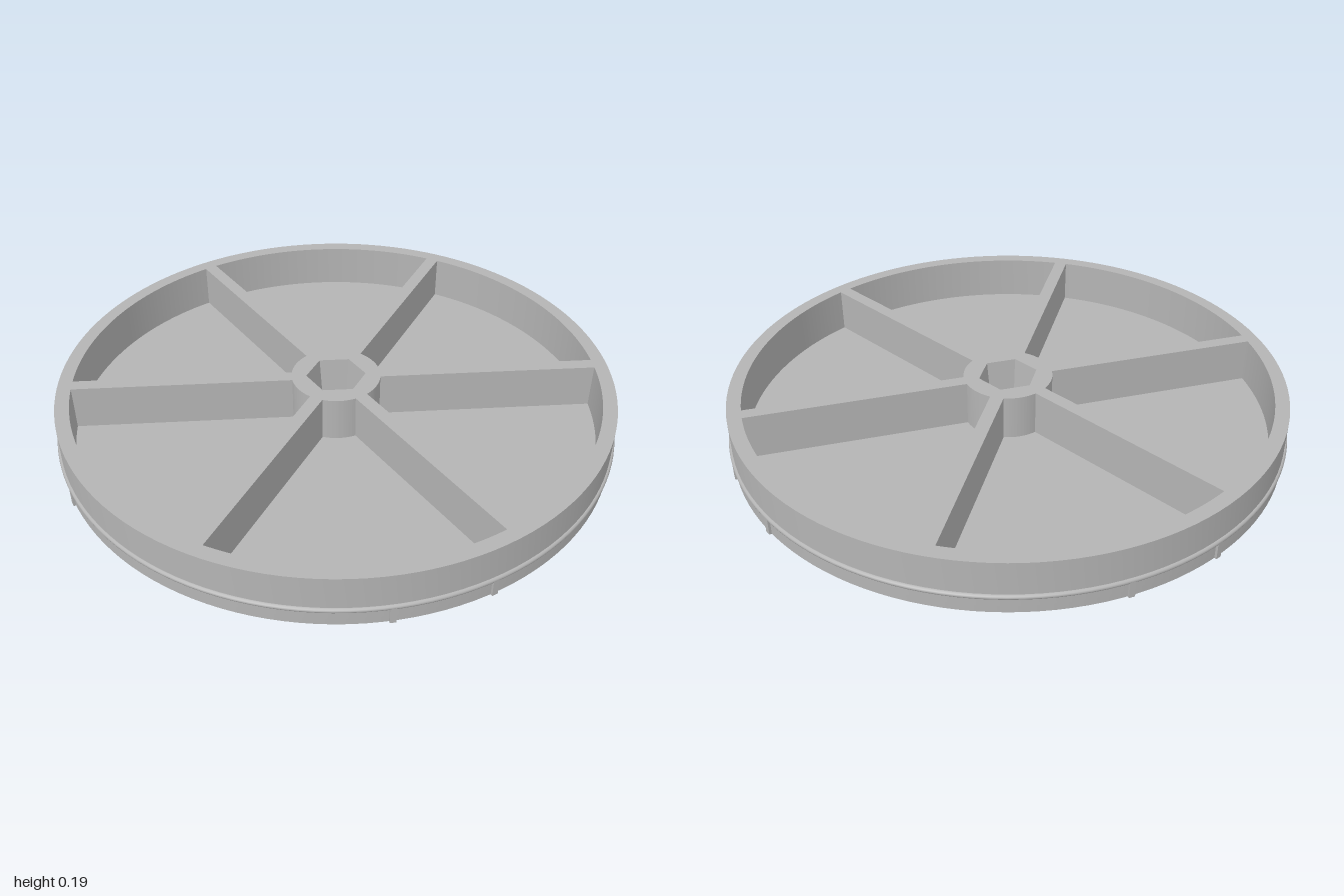
import * as THREE from 'three';
import { toCreasedNormals } from 'three/addons/utils/BufferGeometryUtils.js';

const R = 0.99, H = 0.19, FLOOR = 0.025;
const POCKET_OUT = 0.94, POCKET_IN = 0.16, SPOKE = 0.024, HEX = 0.107;

export function createModel() {
  const model = new THREE.Group();
  const grey = new THREE.MeshStandardMaterial({ color: 0xb4b4b4 });
  grey.name = 'grey';
  const greyInside = grey.clone();
  greyInside.side = THREE.DoubleSide;

  const add = (name, geometry, material = grey) => {
    const mesh = new THREE.Mesh(geometry, material);
    mesh.name = name;
    model.add(mesh);
    return mesh;
  };

  // Solid floor of the disc
  add('floor', new THREE.CylinderGeometry(R, R, FLOOR, 128)).position.y = FLOOR / 2;

  // Rim, six spokes and hub: one plate with six pockets and a hexagonal socket
  const plate = new THREE.Shape().absarc(0, 0, R, 0, Math.PI * 2);
  const outA = Math.asin(SPOKE / POCKET_OUT), inA = Math.asin(SPOKE / POCKET_IN);
  for (let i = 0; i < 6; i++) {
    const a = Math.PI / 6 + (i * Math.PI) / 3, b = a + Math.PI / 3;
    const pocket = new THREE.Path();
    pocket.absarc(0, 0, POCKET_OUT, a + outA, b - outA, false);
    pocket.absarc(0, 0, POCKET_IN, b - inA, a + inA, true);
    pocket.closePath();
    plate.holes.push(pocket);
  }
  const corners = Array.from({ length: 6 }, (_, i) => {
    const a = Math.PI / 2 + (i * Math.PI) / 3;
    return new THREE.Vector2(HEX * Math.cos(a), HEX * Math.sin(a));
  });
  plate.holes.push(new THREE.Path(corners));
  const body = new THREE.ExtrudeGeometry(plate, { depth: H - FLOOR, bevelEnabled: false, curveSegments: 64 });
  body.rotateX(-Math.PI / 2).translate(0, FLOOR, 0);
  add('rimSpokesAndHub', toCreasedNormals(body, 0.5));

  // Tapered walls of the hexagonal socket
  const socket = new THREE.CylinderGeometry(HEX, 0.088, H - FLOOR, 6, 1, true).toNonIndexed();
  socket.computeVertexNormals();
  add('hexSocket', socket, greyInside).position.y = (H + FLOOR) / 2;

  // Thin bead around the outside
  const bead = new THREE.TorusGeometry(R, 0.009, 10, 128);
  bead.rotateX(Math.PI / 2);
  add('bead', bead).position.y = 0.062;

  // Small upright lugs below the bead, a pair on each diagonal
  for (let i = 0; i < 4; i++) {
    for (const side of [-1, 1]) {
      const a = Math.PI / 4 + (i * Math.PI) / 2 + side * 0.166;
      const lug = add('lug', new THREE.BoxGeometry(0.02, 0.06, 0.02));
      lug.position.set(Math.sin(a) * 0.988, 0.03, Math.cos(a) * 0.988);
      lug.rotation.y = a;
    }
  }
  return model;
}
